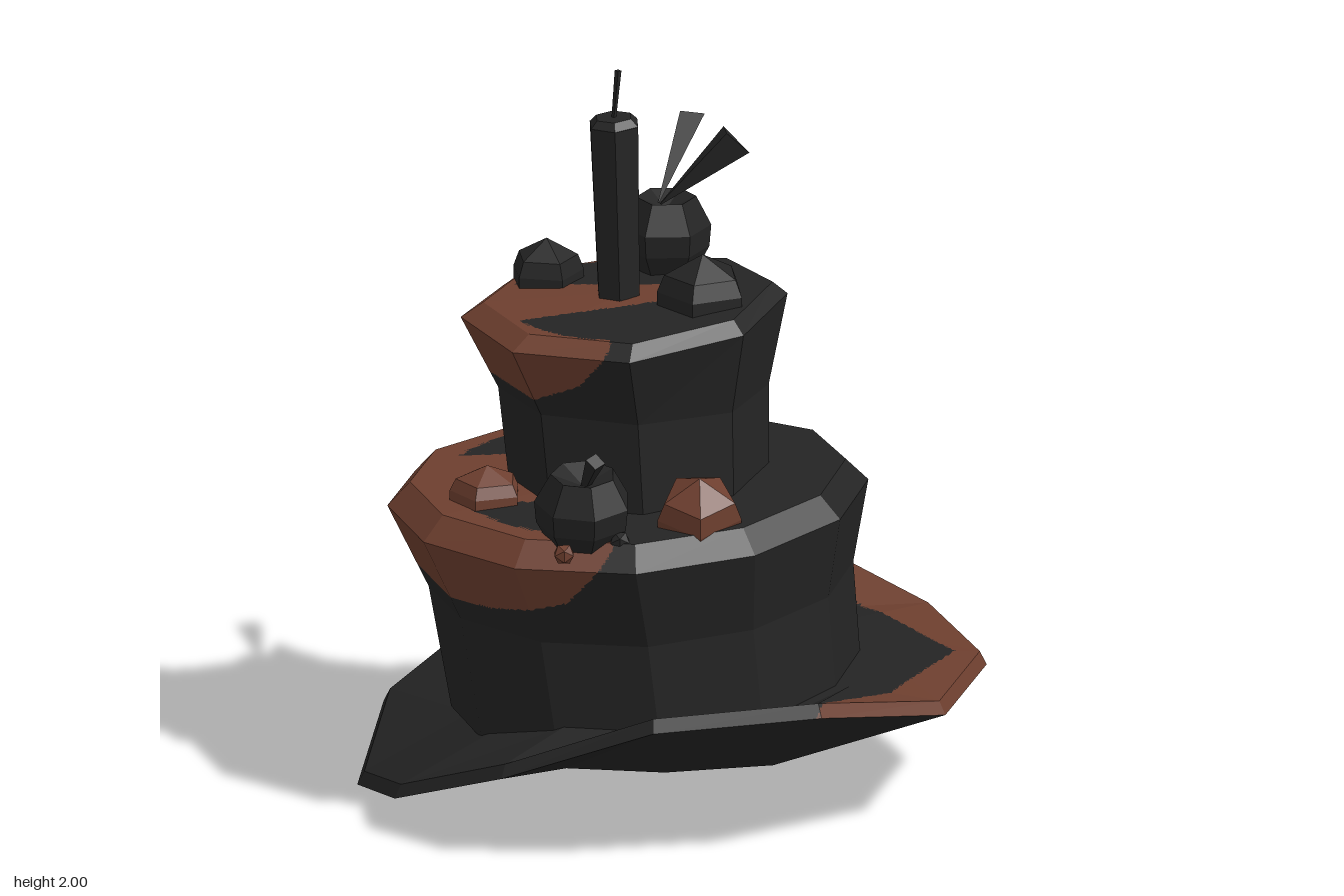
import * as THREE from 'three';

const charcoal = new THREE.MeshStandardMaterial({ color: 0x242424, flatShading: true });
charcoal.name = 'charcoal';
const brown = new THREE.MeshStandardMaterial({ color: 0x6e3f2f, flatShading: true });
brown.name = 'sponge brown';
const V = (x, y, z) => new THREE.Vector3(x, y, z);

// One oval cross-section, counter-clockwise seen from above; lift raises its +x side
function ring(n, cx, y, rx, rz = rx, lift = 0) {
  return Array.from({ length: n }, (_, i) => {
    const a = (i / n) * Math.PI * 2, c = Math.cos(a);
    return V(cx + rx * c, y + lift * c * (1 + c), -rz * Math.sin(a));
  });
}

// Full outline from half of one: [x, y, z] running from +x to -x
function mirrored(half) {
  const back = half.map(([x, y, z]) => V(x, y, -z));
  const front = half.slice(1, -1).reverse().map(([x, y, z]) => V(x, y, z));
  return back.concat(front);
}

// Skin over rings ordered bottom to top; a rule can paint regions brown
function loft(name, rings, isBrown = () => false) {
  const dark = [], light = [];
  function add(a, b, c, depth) {
    if (V(0, 0, 0).crossVectors(b.clone().sub(a), c.clone().sub(a)).length() < 1e-9) return;
    const m = a.clone().add(b).add(c).divideScalar(3);
    const ab = a.clone().lerp(b, 0.5), bc = b.clone().lerp(c, 0.5), ca = c.clone().lerp(a, 0.5);
    const votes = [a, b, c, ab, bc, ca].filter((p) => isBrown(p.clone().lerp(m, 0.02))).length;
    const mixed = (votes > 0 && votes < 6) || (votes === 6) !== isBrown(m);
    if (depth > 0 && mixed) {
      add(a, ab, ca, depth - 1);
      add(ab, b, bc, depth - 1);
      add(ca, bc, c, depth - 1);
      add(ab, bc, ca, depth - 1);
    } else {
      (isBrown(m) ? light : dark).push(a, b, c);
    }
  }
  for (let k = 0; k + 1 < rings.length; k++) {
    const lo = rings[k], hi = rings[k + 1], n = lo.length;
    for (let i = 0; i < n; i++) {
      const j = (i + 1) % n;
      add(lo[i], lo[j], hi[j], 5);
      add(lo[i], hi[j], hi[i], 5);
    }
  }
  const geo = new THREE.BufferGeometry().setFromPoints(dark.concat(light));
  geo.addGroup(0, dark.length, 0);
  geo.addGroup(dark.length, light.length, 1);
  geo.computeVertexNormals();
  const mesh = new THREE.Mesh(geo, [charcoal, brown]);
  mesh.name = name;
  return mesh;
}

// Tapered straight piece between two points
function rod(name, a, b, r0, r1, sides) {
  const mesh = new THREE.Mesh(new THREE.CylinderGeometry(r1, r0, a.distanceTo(b), sides), charcoal);
  mesh.name = name;
  mesh.position.copy(a).lerp(b, 0.5);
  mesh.quaternion.setFromUnitVectors(V(0, 1, 0), b.clone().sub(a).normalize());
  return mesh;
}

// Three-sided stalk flaring from a point to an end triangle
function stalk(name, root, end) {
  const tip = (p) => root.clone().lerp(p, 0.05);
  const middle = end[0].clone().add(end[1]).add(end[2]).divideScalar(3);
  return loft(name, [end.map(tip), end, end.map(() => middle)]);
}

// Faceted fruit turned from a [radius, height] profile
function fruit(name, profile, sides, pos, turn, material = charcoal, lean = 0) {
  const pts = profile.map(([r, y]) => new THREE.Vector2(r, y));
  const mesh = new THREE.Mesh(new THREE.LatheGeometry(pts, sides), material);
  mesh.name = name;
  mesh.position.copy(pos);
  mesh.rotation.set(lean, turn, 0);
  return mesh;
}

export function createModel() {
  const cake = new THREE.Group();
  cake.name = 'burntCake';

  // Warped plate with a recessed underside
  const rim = [[0.835, 0.32, 0], [0.71, 0.32, 0.415], [0.37, 0.415, 0.71], [-0.08, 0.395, 0.765],
    [-0.48, 0.235, 0.65], [-0.755, 0.1, 0.405], [-0.84, 0.003, 0]];
  const foot = [[0.53, 0.245, 0], [0.46, 0.235, 0.27], [0.25, 0.2, 0.46], [-0.04, 0.2, 0.51],
    [-0.3, 0.195, 0.45], [-0.48, 0.125, 0.27], [-0.54, 0.08, 0]];
  const low = mirrored(rim);
  const high = mirrored(rim.map(([x, y, z]) => [x * 0.978, y + 0.037, z * 0.978]));
  const inner = mirrored(foot.map(([x, y, z]) => [x, y + 0.12, z]));
  const recess = mirrored(foot.map(([x, y, z]) => [x * 0.96, y + 0.045, z * 0.96]));
  cake.add(loft('plateUnderside', [ring(12, 0, 0.29, 0), recess, mirrored(foot), low]));
  cake.add(loft('plateTop', [low, high, inner, ring(12, 0, 0.35, 0)],
    (p) => p.x > 0.75 - 0.55 * Math.abs(p.z)));

  // Lower tier, scorched except on its left edge
  cake.add(loft('lowerTier', [
    ring(12, -0.045, 0.22, 0.545, 0.52, 0.055),
    ring(12, -0.085, 0.558, 0.565, 0.525, 0.028),
    ring(12, -0.12, 0.786, 0.64, 0.595, 0.029),
    ring(12, -0.12, 0.852, 0.58, 0.54, 0.025),
    ring(12, -0.12, 0.878, 0),
  ], (p) => p.x < -0.18
    && p.y > 0.62 + Math.max(0, (p.x + 0.5) * 0.3) + Math.max(0, p.x + 0.3)
    && (Math.hypot(p.x + 0.12, p.z) > 0.485 || Math.abs(p.z) < 0.2)));

  // Upper tier
  cake.add(loft('upperTier', [
    ring(8, -0.09, 0.84, 0.345, 0.33),
    ring(8, -0.105, 1.115, 0.36, 0.33),
    ring(8, -0.13, 1.313, 0.435, 0.4, 0.028),
    ring(8, -0.12, 1.354, 0.385, 0.36, 0.024),
    ring(8, -0.12, 1.378, 0),
  ], (p) => {
    if (p.y > 1.345 && Math.hypot(p.x + 0.12, p.z) < 0.33) {
      return p.x < 0.17 && p.z < 0.04 + (0.17 - p.x) * 0.19 && p.z > -(0.17 - p.x) * 0.25;
    }
    return p.x < -0.18
      && p.y > 1.16 + Math.max(0, (p.x + 0.38) * 0.5) + Math.max(0, p.x + 0.26);
  }));

  // Candle and wick
  cake.add(rod('candle', V(-0.143, 1.35, 0), V(-0.157, 1.85, 0), 0.062, 0.073, 6));
  cake.add(rod('candleTop', V(-0.157, 1.85, 0), V(-0.158, 1.87, 0), 0.073, 0.052, 6));
  cake.add(rod('wick', V(-0.158, 1.86, 0), V(-0.146, 2, 0), 0.006, 0.009, 4));

  // Pointed berries: [name, radius, height, position, turn, material, lean]
  const berries = [
    ['leftBerry', 0.1, 0.13, V(-0.33, 1.345, -0.17), 0.4, charcoal, 0],
    ['rightBerry', 0.122, 0.145, V(0.075, 1.37, 0.1), 1.0, charcoal, 0],
    ['frontBerry', 0.118, 0.16, V(0.055, 0.85, 0.385), 0.0, brown, 0.35],
    ['smallBerry', 0.1, 0.1, V(-0.5, 0.85, 0.16), 0.9, brown, 0],
  ];
  for (const [name, r, h, pos, turn, material, lean] of berries) {
    cake.add(fruit(name, [[0, 0], [r, 0], [r, h * 0.3], [r * 0.84, h * 0.62], [0, h]],
      5, pos, turn, material, lean));
  }

  // Round fruits with a dimpled top
  const round = [[0, 0], [0.085, 0], [0.115, 0.06], [0.12, 0.12], [0.08, 0.2], [0, 0.165]];
  cake.add(fruit('topFruit', round, 6, V(-0.01, 1.37, -0.22), Math.PI / 6));
  const sideFruit = new THREE.Group();
  sideFruit.name = 'sideFruit';
  sideFruit.position.set(-0.255, 0.825, 0.435);
  sideFruit.rotation.x = 0.12;
  sideFruit.add(fruit('sideFruitBody', round.map(([r, y]) => [r * 1.09, y]), 7, V(0, 0, 0), 0.2));
  sideFruit.add(rod('sideFruitStem', V(0, 0.15, 0), V(0.03, 0.265, 0.06), 0.01, 0.027, 4));
  cake.add(sideFruit);

  // Flared stalks on the top fruit
  const root = V(-0.035, 1.54, -0.22);
  cake.add(stalk('backStalk', root,
    [V(0.035, 1.735, -0.44), V(0.1, 1.73, -0.43), V(0.055, 1.68, -0.49)]));
  cake.add(stalk('sideStalk', root,
    [V(0.145, 1.745, -0.28), V(0.15, 1.755, -0.19), V(0.21, 1.7, -0.19)]));

  // Crumbs around the fruits
  const crumbs = [[0.05, 1.395, -0.1, charcoal], [-0.08, 1.385, -0.35, charcoal],
    [-0.31, 0.83, 0.55, brown], [-0.16, 0.85, 0.51, charcoal]];
  for (const [x, y, z, material] of crumbs) {
    const crumb = new THREE.Mesh(new THREE.IcosahedronGeometry(0.03, 0), material);
    crumb.name = 'crumb';
    crumb.position.set(x, y, z);
    cake.add(crumb);
  }
  return cake;
}
